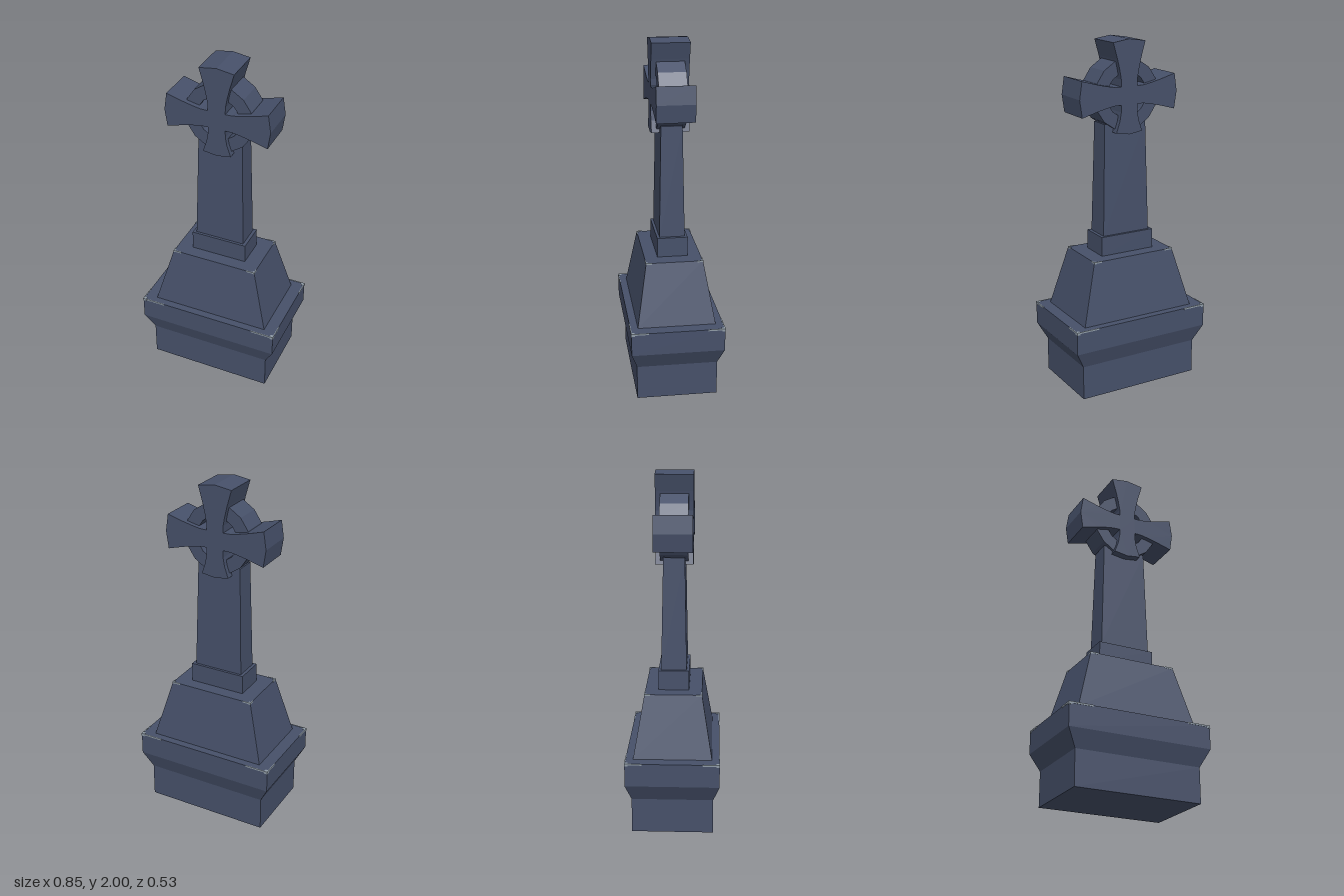
import * as THREE from 'three';

const stone = new THREE.MeshStandardMaterial({ color: 0x465069, flatShading: true });
stone.name = 'slate stone';
const worn = new THREE.MeshStandardMaterial({ color: 0x8f9ba6, flatShading: true });
worn.name = 'worn edge';

const CY = 1.693; // height of the cross centre

function add(parent, name, geometry, material = stone) {
  const mesh = new THREE.Mesh(geometry, material);
  mesh.name = name;
  parent.add(mesh);
  return mesh;
}

// Rectangular block that tapers from (x0, z0) at y0 to (x1, z1) at y1, half sizes
function taper(y0, x0, z0, y1, x1, z1) {
  const g = new THREE.BoxGeometry(2, 1, 2);
  const p = g.attributes.position;
  for (let i = 0; i < p.count; i++) {
    const top = p.getY(i) > 0;
    p.setXYZ(i, p.getX(i) * (top ? x1 : x0), top ? y1 : y0, p.getZ(i) * (top ? z1 : z0));
  }
  g.computeVertexNormals();
  return g;
}

function extrude(shape, depth) {
  const g = new THREE.ExtrudeGeometry(shape, { depth, bevelEnabled: false });
  return g.translate(0, CY, -depth / 2);
}

function ringPoints(radius, n) {
  return Array.from({ length: n }, (_, i) => {
    const a = (i / n) * Math.PI * 2;
    return new THREE.Vector2(Math.cos(a) * radius, Math.sin(a) * radius);
  });
}

// Pale chips at the top corners of a block, with slivers running along its edges
function wear(parent, name, x, y, z, size, run) {
  const group = new THREE.Group();
  group.name = name;
  const lip = 0.002;
  for (const sx of [-1, 1]) for (const sz of [-1, 1]) {
    const place = (w, h, d) => add(group, 'chip', new THREE.BoxGeometry(w, h, d), worn)
      .position.set(sx * (x + lip - w / 2), y + lip - h / 2, sz * (z + lip - d / 2));
    place(size, size * 0.8, size);
    place(run, 0.009, 0.005);
    place(0.005, 0.009, run * 0.7);
  }
  parent.add(group);
}

export function createModel() {
  const model = new THREE.Group();
  model.name = 'stoneCrossMonument';

  // Stepped base
  const base = new THREE.Group();
  base.name = 'base';
  add(base, 'foot', taper(0, 0.368, 0.23, 0.2, 0.368, 0.23));
  add(base, 'flare', taper(0.2, 0.368, 0.23, 0.3, 0.421, 0.264));
  add(base, 'cap', taper(0.3, 0.421, 0.264, 0.433, 0.421, 0.264));
  wear(base, 'baseWear', 0.421, 0.433, 0.264, 0.02, 0.14);
  model.add(base);

  // Sloping plinth, collar and shaft
  add(model, 'plinth', taper(0.433, 0.35, 0.221, 0.783, 0.255, 0.161));
  wear(model, 'plinthWear', 0.255, 0.783, 0.161, 0.014, 0.05);
  add(model, 'collar', taper(0.783, 0.166, 0.087, 0.895, 0.166, 0.087));
  add(model, 'shaft', taper(0.895, 0.147, 0.072, 1.535, 0.13, 0.06));

  // Ring behind the arms
  const ring = new THREE.Shape(ringPoints(0.2, 16));
  ring.holes.push(new THREE.Path(ringPoints(0.125, 16)));
  add(model, 'ring', extrude(ring, 0.157));

  // Flared cross: each arm is [distance, half width], turned about the centre
  const flare = [[0.05, 0.05], [0.09, 0.051], [0.14, 0.06], [0.2, 0.074], [0.292, 0.1]];
  const foot = [[0.05, 0.05], [0.09, 0.051], [0.14, 0.06], [0.205, 0.082]];
  const outline = [];
  [[flare, 0.307], [flare, 0.307], [flare, 0.307], [foot, 0.217]].forEach(([arm, tip], k) => {
    const path = [
      ...arm.map(([d, w]) => [d, -w]),
      [tip, 0],
      ...arm.slice(1).reverse().map(([d, w]) => [d, w]),
    ];
    for (const [d, w] of path) {
      outline.push(new THREE.Vector2(d, w).rotateAround(new THREE.Vector2(), (k * Math.PI) / 2));
    }
  });
  add(model, 'cross', extrude(new THREE.Shape(outline), 0.213));

  return model;
}
